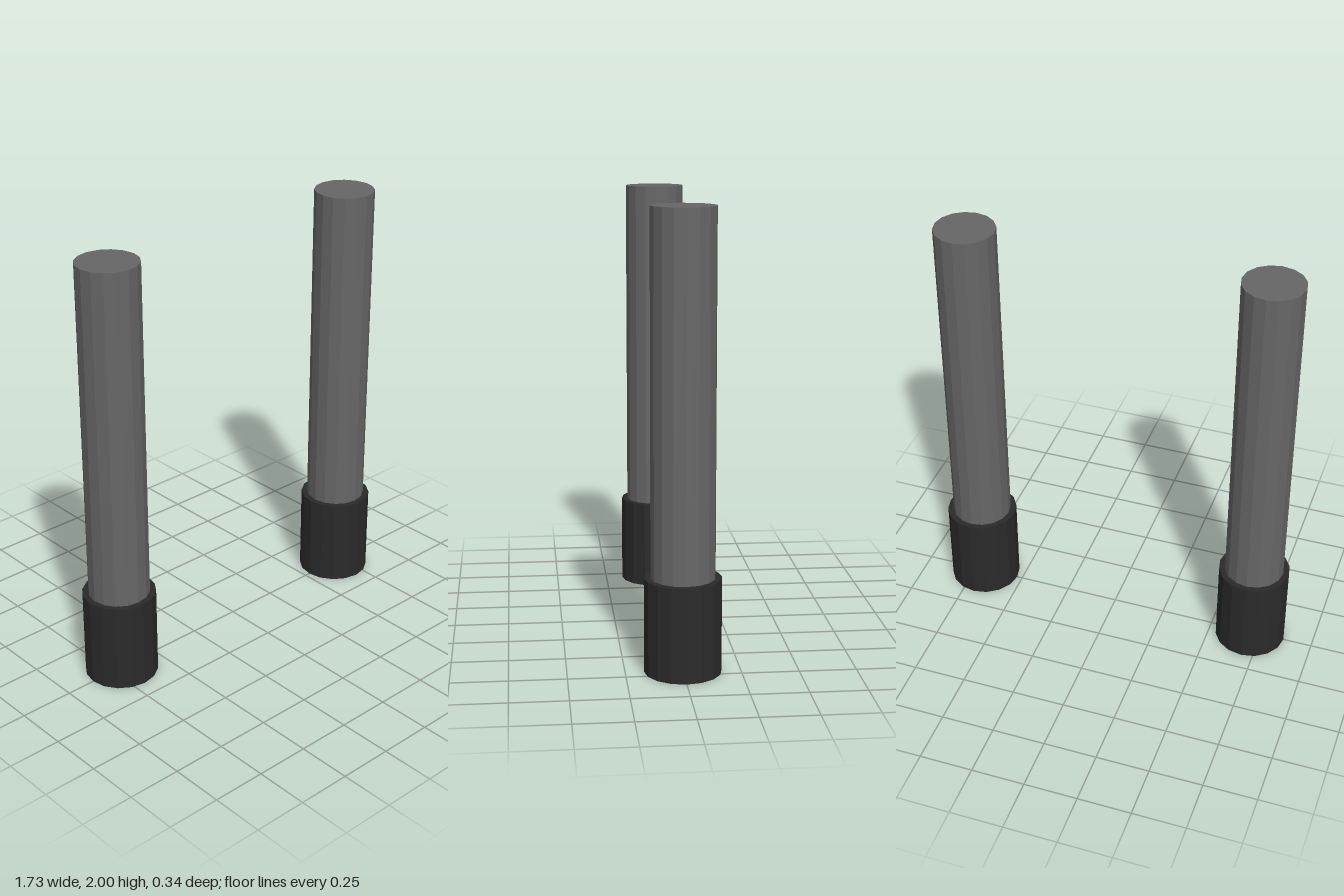
import * as THREE from 'three';

const SIDES = 16;
const SPACING = 0.695; // distance of each leg from the centre line

const shaftMaterial = new THREE.MeshStandardMaterial({ color: 0x666666, flatShading: true });
const footMaterial = new THREE.MeshStandardMaterial({ color: 0x2a2a2a, flatShading: true });

// Upright faceted cylinder between two heights
function column(name, radius, bottom, top, material) {
  const height = top - bottom;
  const mesh = new THREE.Mesh(new THREE.CylinderGeometry(radius, radius, height, SIDES), material);
  mesh.position.y = bottom + height / 2;
  mesh.name = name;
  return mesh;
}

export function createModel() {
  const model = new THREE.Group();
  model.name = 'legPair';

  for (const side of [1, -1]) {
    const leg = new THREE.Group();
    leg.name = side > 0 ? 'leftLeg' : 'rightLeg';
    leg.position.x = side * SPACING;
    // Wide dark foot with the slimmer shaft standing in it
    leg.add(column('foot', 0.168, 0, 0.42, footMaterial));
    leg.add(column('shaft', 0.14, 0.4, 2, shaftMaterial));
    model.add(leg);
  }
  return model;
}
